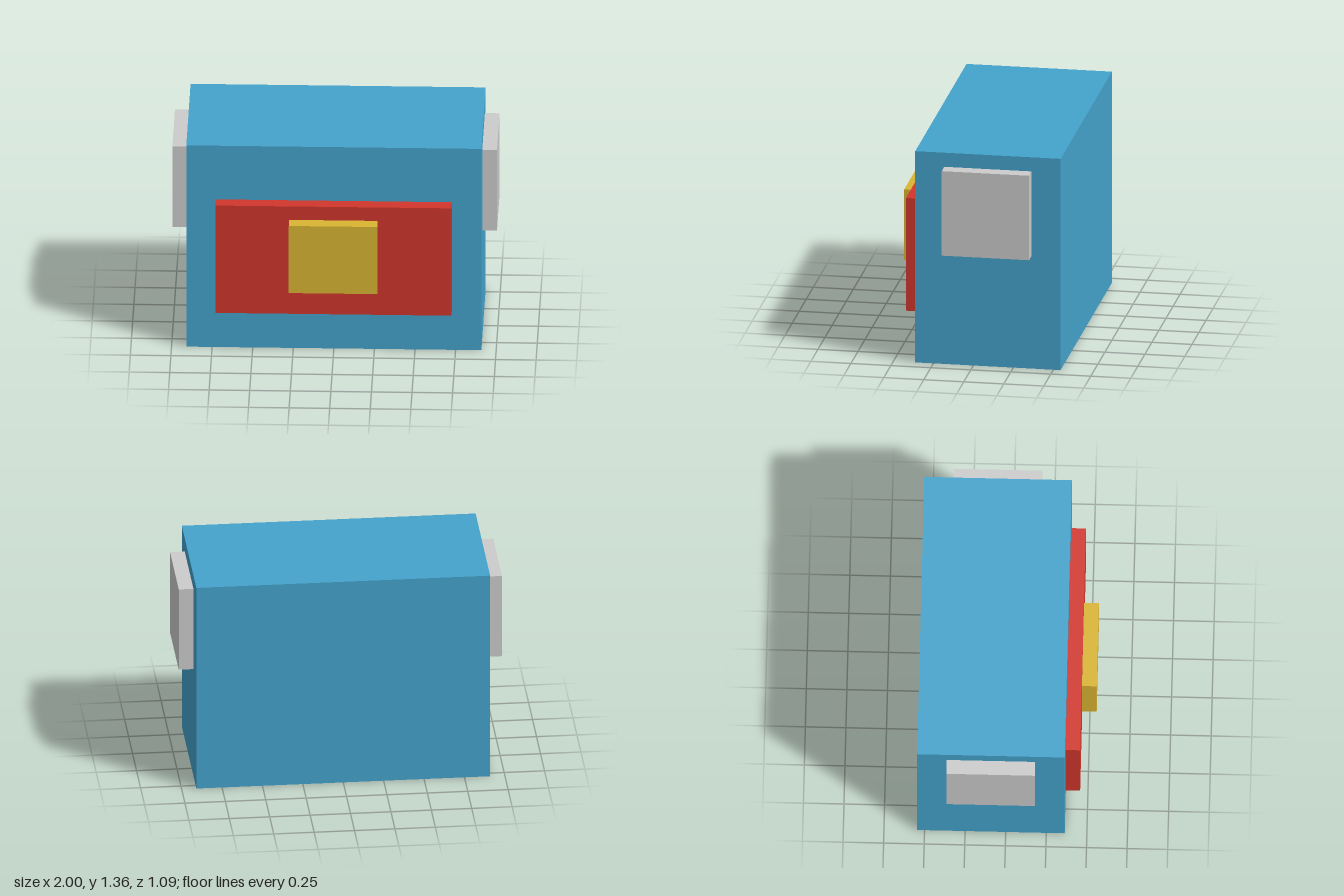
import * as THREE from 'three';

// The design sits on a regular grid: 22 cells span the full 2-unit width
const U = 1 / 11;

// Box given by its min and max corners in grid cells
function block(name, color, min, max) {
  const size = max.map((v, i) => (v - min[i]) * U);
  const mid = max.map((v, i) => ((v + min[i]) / 2) * U);
  const mesh = new THREE.Mesh(
    new THREE.BoxGeometry(...size),
    new THREE.MeshStandardMaterial({ color })
  );
  mesh.name = name;
  mesh.position.set(...mid);
  return mesh;
}

export function createModel() {
  const group = new THREE.Group();
  group.name = 'backpack';

  // Main body
  group.add(block('body', 0x44a3cc, [-10, 0, -6], [10, 15, 4]));

  // Raised front pocket with a smaller patch on it
  group.add(block('frontPocket', 0xd1372c, [-8, 3, 4], [8, 11, 5]));
  group.add(block('pocketPatch', 0xdab532, [-3, 5, 5], [3, 10, 6]));

  // Mirrored side panels
  group.add(block('leftSidePanel', 0xcccccc, [10, 8, -4], [11, 14, 2]));
  group.add(block('rightSidePanel', 0xcccccc, [-11, 8, -4], [-10, 14, 2]));

  return group;
}
